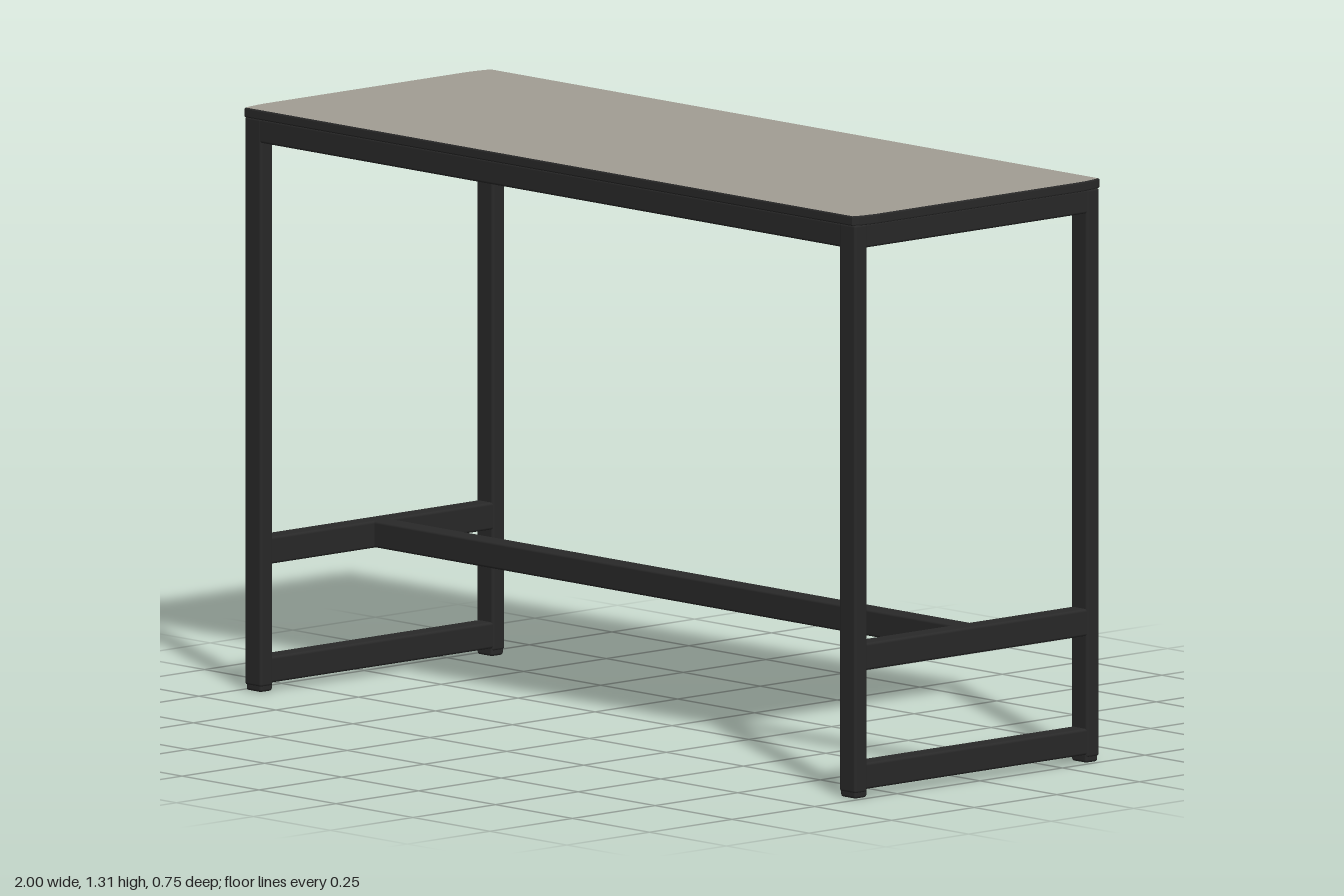
import * as THREE from 'three';
import { RoundedBoxGeometry } from 'three/addons/geometries/RoundedBoxGeometry.js';

export function createModel() {
  const group = new THREE.Group();
  const metal = new THREE.MeshStandardMaterial({ color: 0x292929 });
  metal.name = 'charcoal metal';
  const laminate = new THREE.MeshStandardMaterial({ color: 0xa19d93 });
  laminate.name = 'warm grey laminate';

  // Softly rounded bar spanning the given bounds
  function bar(name, [x0, x1], [y0, y1], [z0, z1]) {
    const mesh = new THREE.Mesh(
      new RoundedBoxGeometry(x1 - x0, y1 - y0, z1 - z0, 2, 0.006), metal);
    mesh.position.set((x0 + x1) / 2, (y0 + y1) / 2, (z0 + z1) / 2);
    mesh.name = name;
    group.add(mesh);
  }
  const mirrored = (side, a, b) => (side > 0 ? [a, b] : [-b, -a]);

  // Tabletop with slightly eased ends: laminate faces, dark edge band
  const outline = new THREE.Shape();
  outline.moveTo(-0.985, -0.371);
  outline.lineTo(0.985, -0.371);
  outline.quadraticCurveTo(0.992, -0.36, 0.997, -0.31);
  outline.lineTo(0.997, 0.31);
  outline.quadraticCurveTo(0.992, 0.36, 0.985, 0.371);
  outline.lineTo(-0.985, 0.371);
  outline.quadraticCurveTo(-0.992, 0.36, -0.997, 0.31);
  outline.lineTo(-0.997, -0.31);
  outline.quadraticCurveTo(-0.992, -0.36, -0.985, -0.371);
  const topGeometry = new THREE.ExtrudeGeometry(outline, {
    depth: 0.016, bevelThickness: 0.003, bevelSize: 0.003, bevelSegments: 2, curveSegments: 6,
  });
  topGeometry.rotateX(-Math.PI / 2);
  const top = new THREE.Mesh(topGeometry, [laminate, metal]);
  top.position.y = 1.29;
  top.name = 'tabletop';
  group.add(top);

  // Core panel filling the frame, almost level with the apron's lower edge
  const core = new THREE.Mesh(new THREE.BoxGeometry(1.9, 0.05, 0.68), laminate);
  core.position.y = 1.265;
  core.name = 'tabletopCore';
  group.add(core);

  for (const side of [1, -1]) {
    const railX = mirrored(side, 0.94, 0.99);
    for (const face of [1, -1]) {
      // Legs and feet
      bar('leg', mirrored(side, 0.939, 0.992), [0.012, 1.289], mirrored(face, 0.332, 0.37));
      bar('foot', mirrored(side, 0.941, 0.99), [0, 0.03], mirrored(face, 0.331, 0.368));
    }
    // End rails
    bar('endApron', railX, [1.234, 1.289], [-0.345, 0.345]);
    bar('footrestRail', railX, [0.285, 0.346], [-0.345, 0.345]);
    bar('bottomRail', railX, [0.018, 0.077], [-0.345, 0.345]);
    // Long apron at the front and back
    bar('longApron', [-0.955, 0.955], [1.234, 1.289], mirrored(side, 0.333, 0.369));
  }

  // Central stretcher between the end frames
  bar('stretcher', [-0.95, 0.95], [0.286, 0.346], [-0.025, 0.025]);

  return group;
}
